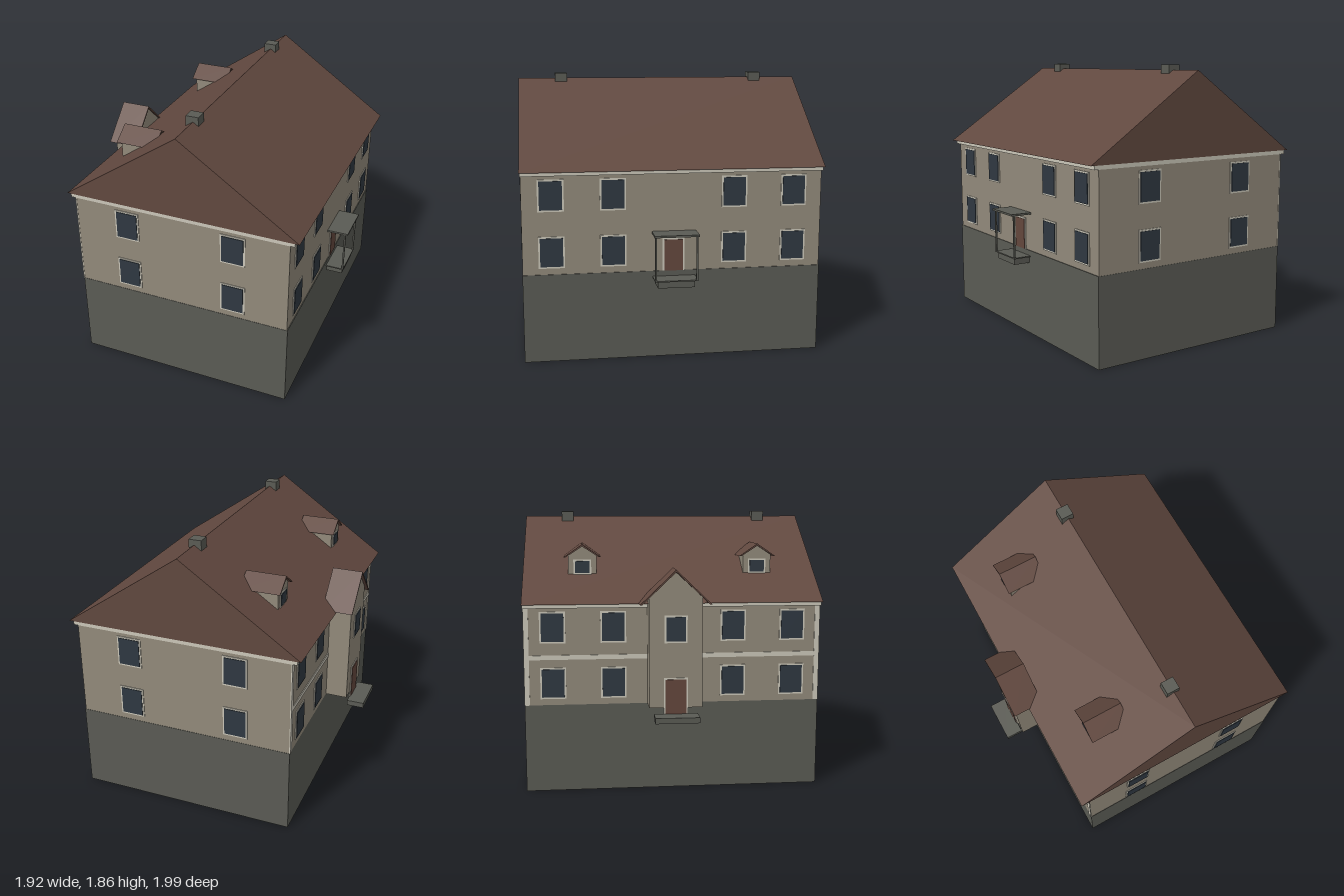
import * as THREE from 'three';

const material = (name, color) => {
  const m = new THREE.MeshStandardMaterial({ color });
  m.name = name;
  return m;
};

export function createModel() {
  const house = new THREE.Group();
  house.name = 'house';
  const wall = material('beige plaster', 0x928a7b);
  const stone = material('grey stone', 0x5a5b54);
  const roof = material('brown roof', 0x61483f);
  const trim = material('pale trim', 0xcbc7b9);
  const glass = material('dark glass', 0x2f3841);
  const doorPaint = material('door brown', 0x64473d);

  const add = (parent, name, geometry, mat) => {
    const mesh = new THREE.Mesh(geometry, mat);
    mesh.name = name;
    parent.add(mesh);
    return mesh;
  };

  // Box given by its limits on each axis
  const block = (name, mat, [x0, x1], [y0, y1], [z0, z1], parent = house) => {
    const mesh = add(parent, name, new THREE.BoxGeometry(x1 - x0, y1 - y0, z1 - z0), mat);
    mesh.position.set((x0 + x1) / 2, (y0 + y1) / 2, (z0 + z1) / 2);
    return mesh;
  };

  const outline = (points) => new THREE.Shape(points.map(([x, y]) => new THREE.Vector2(x, y)));

  // Outline drawn across z and y, extruded from x0 to x1
  const alongX = (name, mat, points, x0, x1, z) => {
    const geometry = new THREE.ExtrudeGeometry(outline(points), { depth: x1 - x0, bevelEnabled: false });
    geometry.rotateY(Math.PI / 2);
    const mesh = add(house, name, geometry, mat);
    mesh.position.set(x0, 0, z);
    return mesh;
  };

  // Framed opening on a wall; angle turns it from facing +z
  const opening = (name, fill, w, h, x, y, z, angle, sill = 0.011) => {
    const g = new THREE.Group();
    g.name = name;
    block('frame', trim, [-w / 2, w / 2], [-h / 2, h / 2], [-0.002, 0.005], g);
    block('pane', fill, [-w / 2 + 0.011, w / 2 - 0.011], [-h / 2 + sill, h / 2 - 0.011], [0, 0.009], g);
    g.position.set(x, y, z);
    g.rotation.y = angle;
    house.add(g);
  };

  // Main body
  block('foundation', stone, [-0.69, 0.815], [0, 0.59], [-0.99, 0.99]);
  block('walls', wall, [-0.69, 0.81], [0.59, 1.25], [-0.988, 0.988]);
  block('cornice', trim, [-0.725, 0.84], [1.24, 1.268], [-0.991, 0.991]);

  // Main gabled roof
  const roofGeometry = new THREE.ExtrudeGeometry(
    outline([[-0.75, 1.266], [0.87, 1.266], [0.06, 1.82]]), { depth: 1.99, bevelEnabled: false });
  roofGeometry.translate(0, 0, -0.995);
  add(house, 'mainRoof', roofGeometry, roof);
  for (const z of [-0.697, 0.697]) block('chimney', stone, [0.01, 0.097], [1.74, 1.855], [z - 0.042, z + 0.042]);

  // Windows on all four walls
  const H = Math.PI / 2;
  for (const y of [0.737, 1.11]) {
    for (const x of [-0.315, 0.432]) {
      opening('frontWindow', glass, 0.17, 0.21, x, y, 0.988, 0);
      opening('backWindow', glass, 0.17, 0.21, x, y, -0.988, Math.PI);
    }
    for (const z of [-0.8, -0.4, 0.4, 0.8]) {
      opening('porchSideWindow', glass, 0.17, 0.21, 0.81, y, z, H);
      opening('towerSideWindow', glass, 0.17, 0.21, -0.69, y, z, -H);
    }
  }

  // Corner boards and belt on the tower side
  for (const s of [-1, 1]) {
    const z = s * 0.973;
    block('cornerBoard', trim, [-0.695, -0.687], [0.59, 1.245], [z - 0.017, z + 0.017]);
    block('belt', trim, [-0.695, -0.687], [0.895, 0.925], s > 0 ? [0.17, 0.96] : [-0.96, -0.17]);
  }

  // Thin two-sided gable roof with eaves at y0 and ridge at y1
  const gable = (name, half, y0, y1, x0, x1, z) => {
    const t = 0.014;
    alongX(name, roof, [[-half, y0], [-half + t, y0], [0, y1 - t], [half - t, y0], [half, y0], [0, y1]], x0, x1, z);
  };
  const gabledBody = (name, half, base, eave, peak, x0, x1, z) =>
    alongX(name, wall, [[-half, base], [half, base], [half, eave], [0, peak], [-half, eave]], x0, x1, z);

  // Entrance tower
  gabledBody('tower', 0.175, 0.59, 1.315, 1.478, -0.84, -0.66, 0);
  gable('towerRoof', 0.235, 1.27, 1.495, -0.86, -0.65, 0);
  opening('towerDoor', doorPaint, 0.16, 0.24, -0.84, 0.67, 0, -H, 0);
  opening('towerWindow', glass, 0.15, 0.18, -0.84, 1.11, 0, -H);
  block('towerStep', stone, [-0.96, -0.84], [0.513, 0.55], [-0.145, 0.145]);

  // Dormers
  for (const z of [-0.597, 0.594]) {
    gabledBody('dormer', 0.095, 1.38, 1.568, 1.628, -0.49, -0.25, z);
    gable('dormerRoof', 0.124, 1.557, 1.642, -0.512, -0.238, z);
    opening('dormerWindow', glass, 0.12, 0.1, -0.49, 1.49, z, -H);
  }

  // Porch with canopy and two posts
  opening('porchDoor', doorPaint, 0.145, 0.22, 0.81, 0.7, 0.004, H, 0);
  block('porchStep', stone, [0.81, 0.93], [0.503, 0.55], [-0.12, 0.124]);
  block('porchCanopy', stone, [0.81, 0.957], [0.844, 0.857], [-0.145, 0.148]);
  for (const z of [-0.133, 0.137]) block('porchPost', stone, [0.93, 0.941], [0.55, 0.845], [z - 0.006, z + 0.006]);
  block('porchThreshold', stone, [0.81, 0.941], [0.546, 0.554], [-0.139, 0.143]);

  return house;
}
